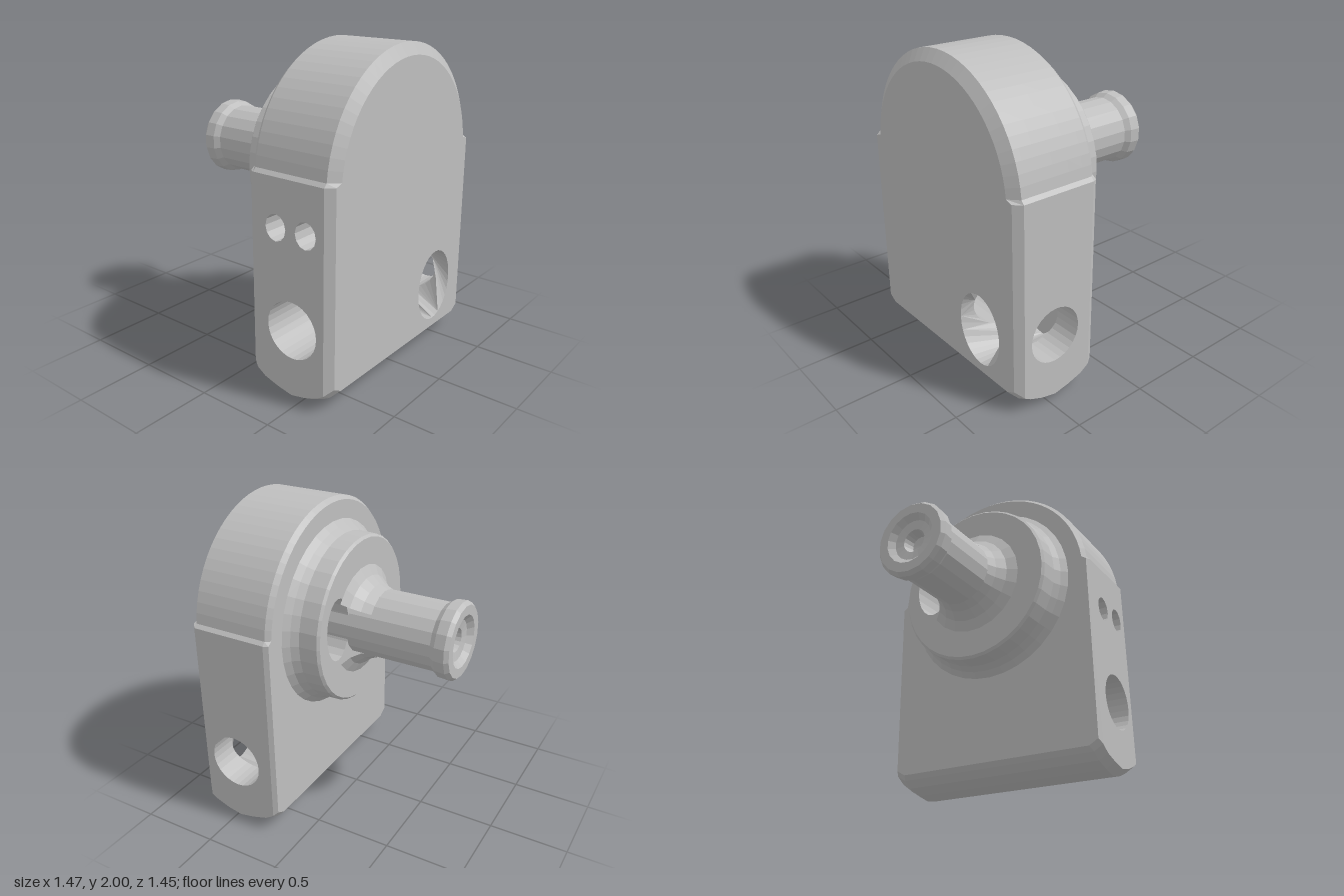
import * as THREE from 'three';

const AXIS_Y = 1.265; // height of the round boss and shaft
const material = new THREE.MeshStandardMaterial({ color: 0xbebebe, flatShading: true, side: THREE.DoubleSide });
material.name = 'plain grey';

const v2 = (x, y) => new THREE.Vector2(x, y);
const v3 = (x, y, z) => new THREE.Vector3(x, y, z);

// Points round an ellipse
function ellipse(cx, cy, rx, ry = rx, n = 28) {
  return Array.from({ length: n }, (_, i) => {
    const a = (i / n) * Math.PI * 2;
    return v2(cx + rx * Math.cos(a), cy + ry * Math.sin(a));
  });
}

// Flat outline with holes, placed in space by a rule
function plate(outline, holes, place) {
  const shape = new THREE.Shape(outline);
  holes.forEach((h) => shape.holes.push(new THREE.Path(h)));
  const geo = new THREE.ShapeGeometry(shape);
  const pos = geo.attributes.position;
  for (let i = 0; i < pos.count; i++) {
    const p = place(pos.getX(i), pos.getY(i));
    pos.setXYZ(i, p.x, p.y, p.z);
  }
  geo.computeVertexNormals();
  return geo;
}

// Closed rings joined by quads; skip(ring, segment) leaves openings
function loft(rings, skip = () => false) {
  const n = rings[0].length;
  const index = [];
  for (let r = 0; r < rings.length - 1; r++) {
    for (let i = 0; i < n; i++) {
      if (skip(r, i)) continue;
      const a = r * n + i, b = r * n + ((i + 1) % n);
      index.push(a, a + n, b, b, a + n, b + n);
    }
  }
  const geo = new THREE.BufferGeometry().setFromPoints(rings.flat());
  geo.setIndex(index);
  geo.computeVertexNormals();
  return geo;
}

// Turned part about the shaft axis; profile is [radius, z]
function turned(profile, segments, start = 0, sweep = Math.PI * 2) {
  const geo = new THREE.LatheGeometry(profile.map(([r, z]) => v2(r, -z)), segments, start, sweep);
  return geo.rotateX(-Math.PI / 2).translate(0, AXIS_Y, 0);
}

export function createModel() {
  const model = new THREE.Group();
  const add = (name, geo, parent = model) => {
    const mesh = new THREE.Mesh(geo, material);
    mesh.name = name;
    parent.add(mesh);
  };
  const group = (name) => {
    const g = new THREE.Group();
    g.name = name;
    model.add(g);
    return g;
  };

  // Arched housing: stations of [z, inset, bottom height]
  const W = 0.737, ARCH = 32;
  const stations = [
    [0.725, 0.045, 0.12], [0.68, 0, 0.08], [0.64, 0, 0.055], [0.55, 0, 0.02], [0.45, 0, 0],
    [0.35, 0, 0.02], [0.25, 0, 0.05], [0.19, 0, 0.09], [0.16, 0.015, 0.12],
  ];
  const outlines = stations.map(([, inset, bottom]) => {
    const w = W - inset, r = 0.72 - inset * 1.6;
    const pts = [v2(w, bottom + 0.035), v2(w, 1.33)];
    for (let i = 0; i <= ARCH; i++) {
      const a = 0.1 + (i / ARCH) * (Math.PI - 0.2);
      pts.push(v2(r * Math.cos(a), 1.28 + r * Math.sin(a)));
    }
    pts.push(v2(-w, 1.33), v2(-w, bottom + 0.035), v2(-w + 0.06, bottom), v2(w - 0.06, bottom));
    return pts;
  });
  const housing = group('housing');
  const last = stations.length - 1;
  const sideSegments = [0, ARCH + 3];
  const rings = outlines.map((o, k) => o.map((p) => v3(p.x, p.y, stations[k][0])));
  add('housingRim', loft(rings, (r, i) => r > 0 && r < last - 1 && sideSegments.includes(i)), housing);

  // Openings shared by the faces and the bores
  const bore = ellipse(0.455, 0.45, 0.175);
  const pocket = ellipse(0.37, 0.41, 0.19, 0.235, 32);
  const pins = [0.345, 0.555].map((z) => ellipse(z, 1.04, 0.072, 0.08, 12));

  add('frontFace', plate(outlines[0], [pocket], (x, y) => v3(x, y, 0.725)), housing);
  add('backFace', plate(outlines[last].map((p) => v2(-p.x, p.y)), [ellipse(0, AXIS_Y, 0.48)],
    (u, y) => v3(-u, y, 0.16)), housing);
  const flank = stations.slice(1, last).map(([z, , b]) => v2(z, b + 0.035));
  flank.push(v2(0.19, 1.33), v2(0.68, 1.33));
  const mirror = (pts) => pts.map((p) => v2(-p.x, p.y));
  add('leftFlank', plate(mirror(flank), [mirror(bore)], (u, y) => v3(W, y, -u)), housing);
  add('rightFlank', plate(flank, [bore, ...pins], (z, y) => v3(-W, y, z)), housing);

  // Cross bore, broken where it meets the front pocket
  const FLOOR = 0.24;
  const pocketX = (y, s) => 0.37 + s * 0.19 * Math.sqrt(Math.max(0, 1 - ((y - 0.41) / 0.235) ** 2));
  const boreGroup = group('crossBore');
  [-1, 1].forEach((s) => {
    const outer = bore.map((p) => v3(s * W, p.y, p.x));
    const inner = bore.map((p) => v3(pocketX(p.y, s), p.y, p.x));
    add('boreWall', loft(s < 0 ? [inner, outer] : [outer, inner]), boreGroup);
  });

  // Front pocket walls curve with the oval opening
  const pocketGroup = group('frontPocket');
  const heights = Array.from({ length: 17 }, (_, i) => 0.41 - 0.235 * Math.cos((i / 16) * Math.PI));
  [-1, 1].forEach((s) => {
    const outline = [...heights.map((y) => v2(s * 0.725, y)),
      ...heights.slice().reverse().map((y) => v2(s * FLOOR, y))];
    const opening = bore.map((p) => v2(s * p.x, p.y));
    add('pocketWall', plate(outline, [opening], (u, y) => v3(pocketX(y, s), y, s * u)), pocketGroup);
  });
  add('pocketFloor', plate(pocket, [], (x, y) => v3(x, y, FLOOR)), pocketGroup);

  // Two small blind holes in one flank
  const pinGroup = group('pinHoles');
  pins.forEach((pin) => {
    const ring = (x) => pin.map((p) => v3(x, p.y, p.x));
    add('pinHoleWall', loft([ring(-0.45), ring(-W)]), pinGroup);
    add('pinHoleFloor', plate(pin, [], (z, y) => v3(-0.45, y, z)), pinGroup);
  });

  // Round boss with a flared foot and an oval slot beside the shaft
  const boss = group('boss');
  add('bossRim', turned([[0.6, 0.165], [0.56, 0.125], [0.535, 0.08], [0.53, -0.035], [0.515, -0.05]], 36), boss);
  const slot = ellipse(0.31, 1.31, 0.125, 0.2, 20);
  add('bossFace', plate(mirror(ellipse(0, AXIS_Y, 0.515, 0.515, 36)), [mirror(slot)],
    (u, y) => v3(-u, y, -0.05)), boss);
  const slotRing = (z) => slot.map((p) => v3(p.x, p.y, z));
  add('slotWall', loft([slotRing(-0.05), slotRing(0.4)]), boss);
  add('slotFloor', plate(mirror(slot), [], (u, y) => v3(-u, y, 0.4)), boss);

  // Shaft with a lipped, dished end
  const shaft = group('shaft');
  add('shaftBody', turned([
    [0.215, 0.3], [0.215, -0.6], [0.24, -0.635], [0.245, -0.7], [0.225, -0.725], [0.165, -0.725],
    [0.13, -0.69], [0.075, -0.68], [0.06, -0.61], [0, -0.6],
  ], 18), shaft);
  add('shaftFillet', turned([[0.345, -0.05], [0.285, -0.085], [0.24, -0.14], [0.215, -0.2]],
    18, Math.PI / 2 + 0.62, Math.PI * 2 - 1.24), shaft);

  return model;
}
